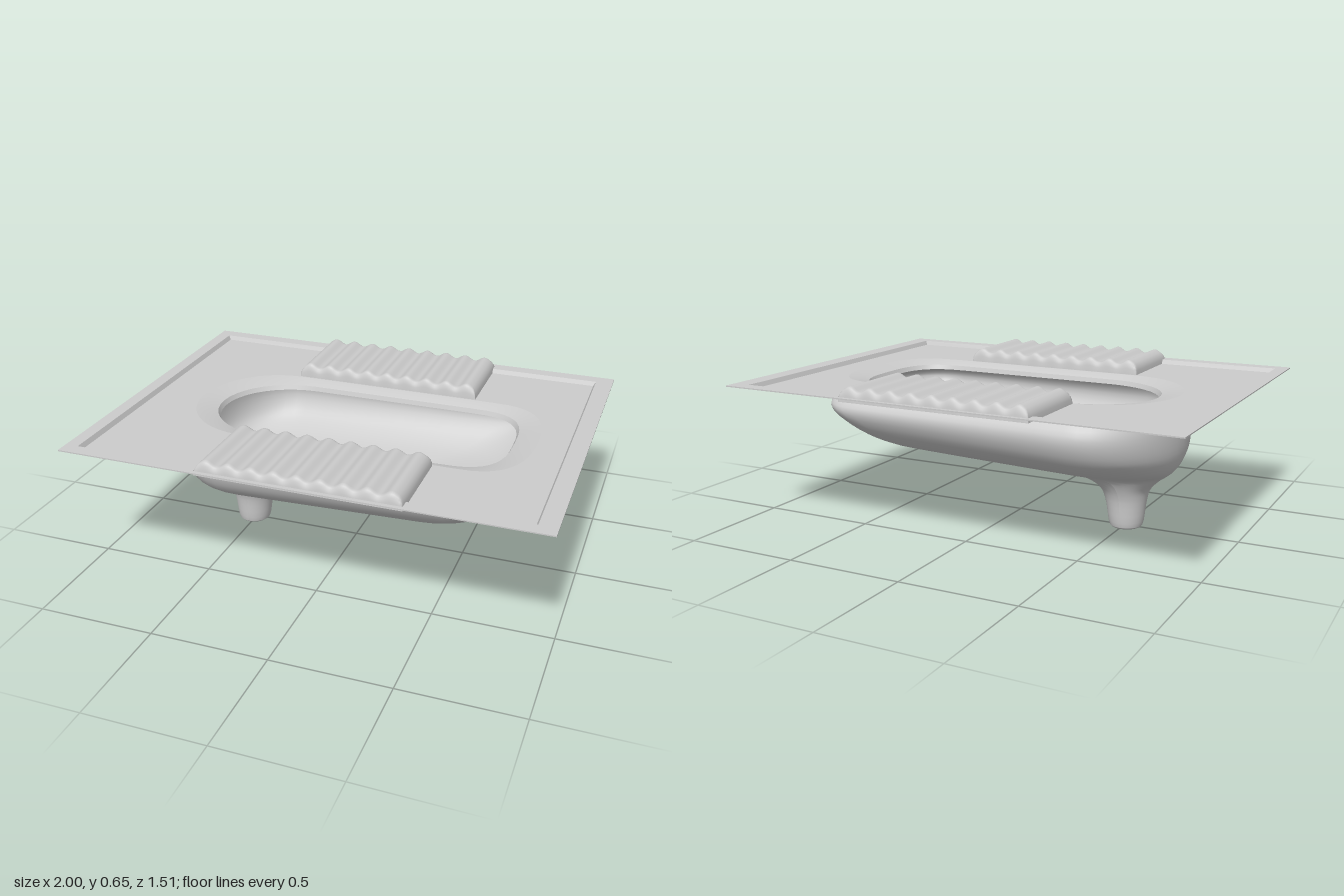
import * as THREE from 'three';
import { toCreasedNormals } from 'three/addons/utils/BufferGeometryUtils.js';

const material = new THREE.MeshStandardMaterial({ color: 0xcccccc, side: THREE.DoubleSide });
const RIM_Y = 0.607, FLOOR_Y = 0.588;
const PAD = { x0: -0.405, x1: 0.44, z0: 0.348, z1: 0.737 };
const { lerp, clamp } = THREE.MathUtils;

// Closed outline with two curved ends and straight sides; height runs from y0 (left end) to y1 (right end).
function outline([x0, x1, w, y0, y1, square = 1]) {
  const half = (x1 - x0) / 2, a = Math.min(0.33, half), b = Math.min(0.26, half);
  const points = [];
  const add = (x, z) => points.push(new THREE.Vector3(x, lerp(y0, y1, (x - x0) / (x1 - x0)), z));
  const arc = 20, side = 8;
  for (let i = 0; i <= arc; i++) {
    const t = -Math.PI / 2 + (Math.PI * i) / arc;
    const c = Math.max(0, Math.cos(t)), s = Math.sin(t);
    add(x1 - b + b * c ** square, w * Math.sign(s) * Math.abs(s) ** square);
  }
  for (let i = 1; i < side; i++) add(lerp(x1 - b, x0 + a, i / side), w);
  for (let i = 0; i <= arc; i++) {
    const t = Math.PI / 2 + (Math.PI * i) / arc;
    add(x0 + a + a * Math.min(0, Math.cos(t)), w * Math.sin(t));
  }
  for (let i = 1; i < side; i++) add(lerp(x0 + a, x1 - b, i / side), -w);
  return points;
}

// Skin between successive loops of equal point count.
function loft(loops, crease, closed = true) {
  const n = loops[0].length, index = [];
  for (let r = 0; r < loops.length - 1; r++) {
    for (let j = 0; j < (closed ? n : n - 1); j++) {
      const k = (j + 1) % n, p = r * n + j, q = r * n + k;
      index.push(p, p + n, q, q, p + n, q + n);
    }
  }
  const geometry = new THREE.BufferGeometry().setFromPoints(loops.flat());
  geometry.setIndex(index);
  geometry.computeVertexNormals();
  return crease ? toCreasedNormals(geometry, crease) : geometry;
}

// Horizontal sheet; shape coordinates are x and -z.
function sheet(outer, hole, y) {
  const shape = new THREE.Shape(outer.map(([x, z]) => new THREE.Vector2(x, -z)));
  shape.holes.push(new THREE.Path(hole.map(([x, z]) => new THREE.Vector2(x, -z))));
  return new THREE.ShapeGeometry(shape).rotateX(-Math.PI / 2).translate(0, y, 0);
}

// Rectangle whose long sides jump to z = notch where the foot pads sit.
function notched(x0, x1, z, notch) {
  return [[x0, z], [PAD.x0, z], [PAD.x0, notch], [PAD.x1, notch], [PAD.x1, z], [x1, z],
    [x1, -z], [PAD.x1, -z], [PAD.x1, -notch], [PAD.x0, -notch], [PAD.x0, -z], [x0, -z]];
}

// Ribbed foot pad: a hollow shell with rounded edges and nine ridges.
function footPad() {
  const inset = [0, 0.002, 0.006, 0.012, 0.02, 0.03];
  const spread = (lo, hi, middle) => [
    ...inset.map((d) => lo + d),
    ...Array.from({ length: middle }, (_, i) => lerp(lo + 0.03, hi - 0.03, (i + 1) / (middle + 1))),
    ...inset.map((d) => hi - d).reverse(),
  ];
  const xs = spread(PAD.x0, PAD.x1, 100), zs = spread(PAD.z0, PAD.z1, 4);
  const round = (d) => Math.sqrt(1 - (1 - clamp(d / 0.02, 0, 1)) ** 2);
  const rows = zs.map((z) => xs.map((x) => {
    const u = (x - PAD.x0) / (PAD.x1 - PAD.x0);
    const top = 0.64 - 0.01 * Math.cos(u * 9 * Math.PI * 2);
    const edge = Math.min(round(x - PAD.x0), round(PAD.x1 - x), round(z - PAD.z0), round(PAD.z1 - z));
    return new THREE.Vector3(x, lerp(FLOOR_Y, top, edge), z);
  }));
  return loft(rows, 0, false);
}

export function createModel() {
  const group = new THREE.Group();
  const add = (name, geometry) => {
    const mesh = new THREE.Mesh(geometry, material);
    mesh.name = name;
    group.add(mesh);
    return mesh;
  };

  // Raised border around the sunken floor
  const border = [[-1, 0.755], [1, 0.755], [1, -0.755], [-1, -0.755]];
  add('raisedRim', sheet(border, notched(-0.945, 0.925, 0.697, PAD.z1), RIM_Y));
  const edge = (y) => border.map(([x, z]) => new THREE.Vector3(x, y, z));
  add('rimEdge', loft([edge(RIM_Y), edge(RIM_Y - 0.005)], 0.5));

  // Sloping step from border to floor, one run either side of the pads
  const step = (x, inner, padX, name) => {
    const run = (px, pz, y) => [[padX, pz], [px, pz], [px, -pz], [padX, -pz]]
      .map(([a, c]) => new THREE.Vector3(a, y, c));
    add(name, loft([run(x, 0.697, RIM_Y), run(inner, 0.688, FLOOR_Y)], 0.5, false));
  };
  step(-0.945, -0.935, PAD.x0, 'rightStep');
  step(0.925, 0.915, PAD.x1, 'leftStep');

  // Floor, open under the pads and around the basin
  const dip = outline([-0.73, 0.79, 0.342, FLOOR_Y, FLOOR_Y, 0.75]);
  add('floor', sheet(notched(-0.935, 0.915, 0.688, PAD.z0), dip.map((p) => [p.x, p.z]), FLOOR_Y));

  // Gentle dip into the opening, the neck below it and the underside ledge
  add('openingCollar', loft([
    dip,
    outline([-0.68, 0.74, 0.318, 0.582, 0.582, 0.7]),
    outline([-0.635, 0.695, 0.289, 0.57, 0.57, 0.65]),
    outline([-0.625, 0.685, 0.283, 0.55, 0.55, 0.65]),
    outline([-0.72, 0.76, 0.36, 0.55, 0.55, 0.7]),
  ], 0.7));

  // Basin tapering down a sloped bottom into the drain outlet
  const rings = [
    [-0.72, 0.76, 0.36, 0.55, 0.55, 0.7],
    [-0.74, 0.80, 0.43, 0.53, 0.53, 0.75],
    [-0.75, 0.825, 0.468, 0.46, 0.485, 0.8],
    [-0.75, 0.76, 0.435, 0.36, 0.41, 0.85],
    [-0.735, 0.66, 0.36, 0.3, 0.34, 0.9],
    [-0.71, 0.5, 0.27, 0.26, 0.3],
    [-0.68, 0.05, 0.18, 0.235, 0.255],
    [-0.65, -0.3, 0.125, 0.213, 0.215],
    [-0.61, -0.39, 0.1, 0.17, 0.17],
    [-0.595, -0.415, 0.085, 0.12, 0.12],
    [-0.578, -0.437, 0.072, 0.008, 0.008],
    [-0.57, -0.445, 0.064, 0, 0],
  ].map(outline);
  const ribs = rings[0].map((_, j) => new THREE.CatmullRomCurve3(rings.map((r) => r[j])));
  const steps = (rings.length - 1) * 4;
  const loops = Array.from({ length: steps + 1 }, (_, i) => ribs.map((c) => c.getPoint(i / steps)));
  add('basinAndDrain', loft(loops, 0));

  // Foot pads, mirrored front to back
  add('frontFootPad', footPad());
  add('backFootPad', footPad()).scale.z = -1;

  return group;
}
